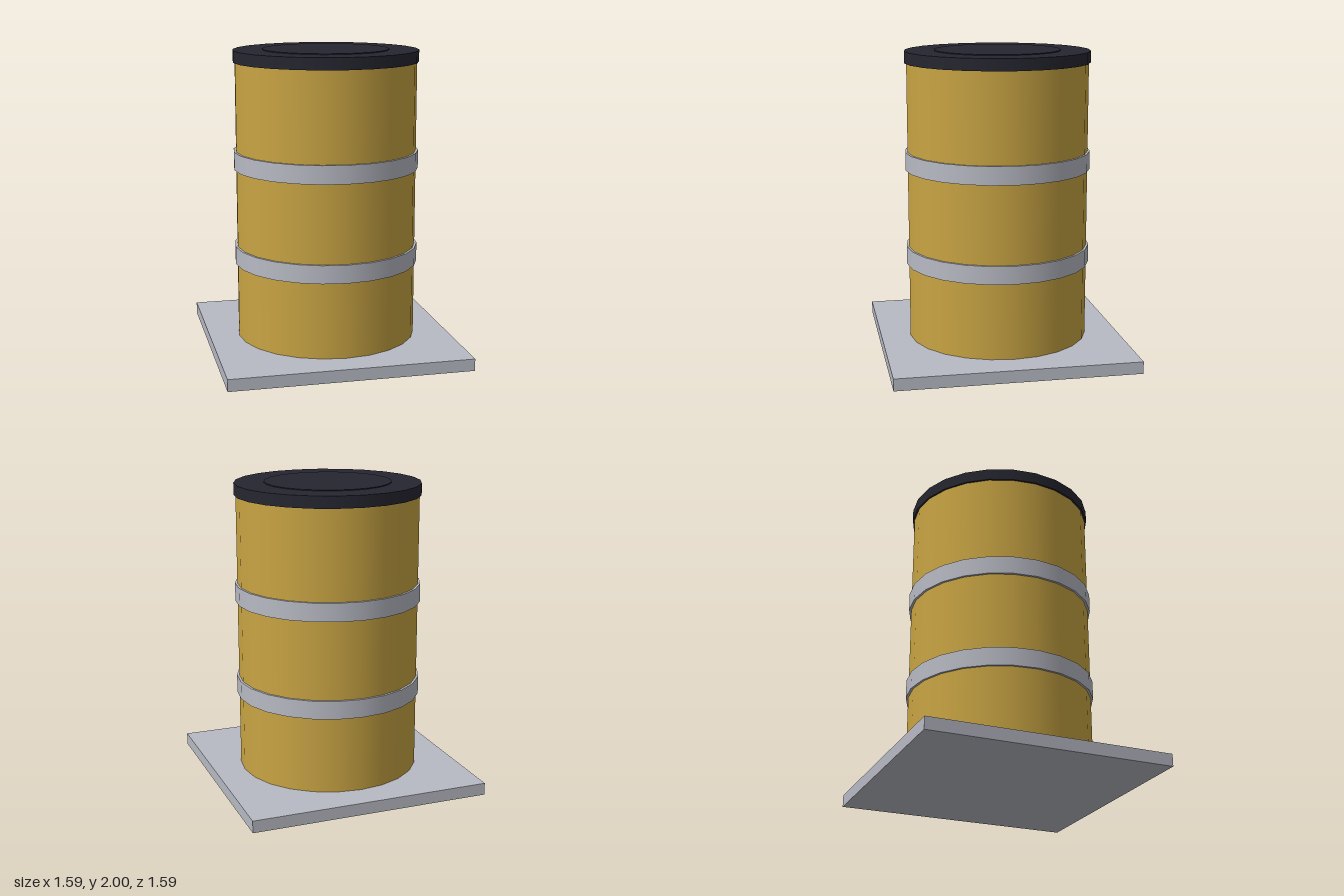
import * as THREE from 'three';

const SIDES = 24;

export function createModel() {
  const group = new THREE.Group();
  const gold = new THREE.MeshStandardMaterial({ name: 'gold', color: 0xc8a443 });
  const grey = new THREE.MeshStandardMaterial({ name: 'grey', color: 0xb8bac4 });
  const black = new THREE.MeshStandardMaterial({ name: 'black', color: 0x262631 });

  const add = (name, geometry, material, y) => {
    const mesh = new THREE.Mesh(geometry, material);
    mesh.name = name;
    mesh.position.y = y;
    group.add(mesh);
  };
  // Upright round part from its bottom and top heights
  const round = (name, radius, bottom, top, material) =>
    add(name, new THREE.CylinderGeometry(radius, radius, top - bottom, SIDES), material, (bottom + top) / 2);

  // Square base plate
  add('basePlate', new THREE.BoxGeometry(1.59, 0.08, 1.59), grey, 0.04);

  // Drum body and its two hoops
  round('body', 0.598, 0.08, 1.92, gold);
  round('lowerBand', 0.613, 0.58, 0.7, grey);
  round('upperBand', 0.613, 1.215, 1.335, grey);

  // Lid with a thin raised disc
  round('lid', 0.61, 1.917, 1.994, black);
  round('lidDisc', 0.415, 1.99, 2.0, black);

  return group;
}
